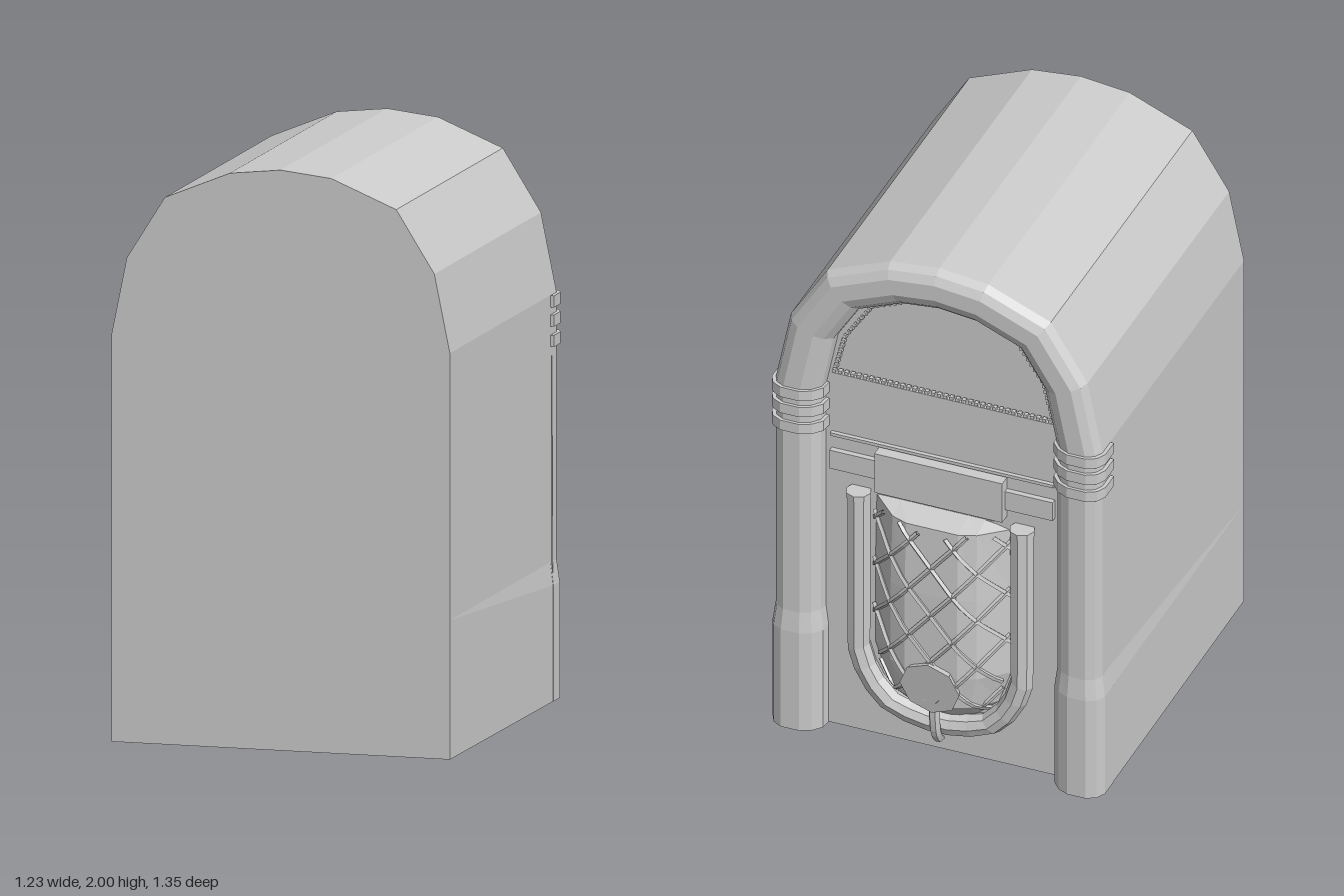
import * as THREE from 'three';

const mat = new THREE.MeshStandardMaterial({ color: 0xcccccc, flatShading: true, side: THREE.DoubleSide });
mat.name = 'light grey';

const V = (x, y, z) => new THREE.Vector3(x, y, z);

// Outline of the cabinet, from the +x foot over the arch to the -x foot
const half = [[0.6, 0], [0.6, 0.4], [0.6, 0.48], [0.6, 1.4], [0.545, 1.67], [0.41, 1.885], [0.18, 1.98]];
const mirrorX = (pts) => pts.slice().reverse().map(([x, y]) => [-x, y]);
const outline = [...half, [0, 2], ...mirrorX(half)];

// Skin a list of equally sized closed rings, with fan caps at both ends
function loft(rings) {
  const n = rings[0].length, pos = [], idx = [];
  rings.forEach((r) => r.forEach((p) => pos.push(p.x, p.y, p.z)));
  for (let i = 0; i < rings.length - 1; i++) {
    for (let j = 0; j < n; j++) {
      const a = i * n + j, b = i * n + (j + 1) % n;
      idx.push(a, b, a + n, b, b + n, a + n);
    }
  }
  const last = (rings.length - 1) * n;
  for (let j = 1; j < n - 1; j++) idx.push(0, j + 1, j, last, last + j, last + j + 1);
  const g = new THREE.BufferGeometry();
  g.setAttribute('position', new THREE.Float32BufferAttribute(pos, 3));
  g.setIndex(idx);
  g.computeVertexNormals();
  return g;
}

// Inward mitre direction at each outline point
const inward = outline.map((p, i) => {
  const normal = (a, b) => new THREE.Vector2(a[1] - b[1], b[0] - a[0]).normalize();
  const n1 = normal(outline[Math.max(i - 1, 0)], outline[Math.max(i, 1)]);
  const k = Math.min(i, outline.length - 2);
  const n2 = normal(outline[k], outline[k + 1]);
  const m = n1.clone().add(n2).normalize();
  return m.multiplyScalar(1 / m.dot(n2));
});

// Rim cross-section: inward distance, z
const section = [[0, -0.5], [0, -0.57], [0.015, -0.6], [0.045, -0.617], [0.105, -0.617],
  [0.14, -0.6], [0.165, -0.57], [0.172, -0.5]];

// Cross-section placed at a point, swollen by s about its middle
const ringAt = ([x, y], dir, s) => section.map(([d, z]) => {
  const e = 0.086 + (d - 0.086) * s;
  return V(x + dir.x * e, y + dir.y * e, -0.5 + (z + 0.5) * (1 + (s - 1) * 0.6));
});

// Faceted half-barrel depth of the grille at a given x, for half width w
function barrel(x, w) {
  const t = Math.abs(x) / w;
  if (t > 0.62) return 0.09 * (1 - t) / 0.38;
  if (t > 0.38) return 0.09 + 0.025 * (0.62 - t) / 0.24;
  return 0.115;
}
// Grille rows: y, half width, bulge
const grilleRows = [[0.985, 0.25, 0.1], [0.965, 0.25, 0.9], [0.7, 0.255, 1], [0.38, 0.255, 1],
  [0.25, 0.21, 0.9], [0.17, 0.12, 0.3]];
function grillePoint(x, y, lift) {
  let i = 0;
  while (i < grilleRows.length - 2 && y < grilleRows[i + 1][0]) i++;
  const [y0, w0, b0] = grilleRows[i], [y1, w1, b1] = grilleRows[i + 1];
  const t = (y0 - y) / (y0 - y1), w = w0 + (w1 - w0) * t;
  if (Math.abs(x) > w) return null;
  return V(x, y, -0.53 - barrel(x, w) * (b0 + (b1 - b0) * t) - lift);
}

function polyTube(points, r, sides, perSegment = 1) {
  const path = new THREE.CurvePath();
  for (let i = 1; i < points.length; i++) path.add(new THREE.LineCurve3(points[i - 1], points[i]));
  return new THREE.TubeGeometry(path, (points.length - 1) * perSegment, r, sides);
}

export function createModel() {
  const model = new THREE.Group();
  const add = (name, geo, x = 0, y = 0, z = 0, parent = model) => {
    const m = new THREE.Mesh(geo, mat);
    m.name = name;
    m.position.set(x, y, z);
    parent.add(m);
    return m;
  };
  const group = (name) => {
    const g = new THREE.Group();
    g.name = name;
    model.add(g);
    return g;
  };

  // Arched cabinet, slightly wider low down at the panel end
  const end = (z, flare) => outline.map(([x, y]) => V(x + (y < 0.45 ? Math.sign(x) * flare : 0), y, z));
  add('cabinet', loft([end(0.675, 0), end(-0.51, 0.009)]));

  // Pillars and arch as one swept rim, with swollen feet
  add('archedRim', loft(outline.map((p, i) => ringAt(p, inward[i], p[1] < 0.45 ? 1.12 : 1))));

  // Three bands on each pillar
  const bands = group('pillarBands');
  for (const s of [1, -1]) {
    for (const y of [1.222, 1.292, 1.358]) {
      const dir = new THREE.Vector2(-s, 0);
      add('band', loft([y, y + 0.04].map((h) => ringAt([0.6 * s, h], dir, 1.15))), 0, 0, 0, bands);
    }
  }

  // Face panel with an arched window opening
  const at = ([x, y], i) => new THREE.Vector2(x + inward[i].x * 0.13, y + inward[i].y * 0.13);
  const face = new THREE.Shape(outline.map(at));
  const side = [[0.41, 1.44], [0.37, 1.6], [0.27, 1.75], [0.13, 1.81]];
  const opening = [...side, [0, 1.825], ...mirrorX(side)].map(([x, y]) => new THREE.Vector2(x, y));
  face.holes.push(new THREE.Path(opening));
  add('facePanel', new THREE.ExtrudeGeometry(face, { depth: 0.025, bevelEnabled: false }), 0, 0, -0.535);

  // Toothed trim round the window
  const trim = group('windowTrim');
  const tooth = new THREE.BoxGeometry(0.013, 0.013, 0.016);
  const edge = new THREE.Path([...opening, opening[0]]);
  for (const p of edge.getSpacedPoints(90)) {
    add('tooth', tooth, p.x * 0.985, 1.6 + (p.y - 1.6) * 0.97, -0.525, trim);
  }

  // Shelf strips and the selector plate
  add('upperStrip', new THREE.BoxGeometry(0.82, 0.012, 0.02), 0, 1.195, -0.54);
  add('lowerStrip', new THREE.BoxGeometry(0.82, 0.075, 0.03), 0, 1.095, -0.54);
  add('selectorPlate', new THREE.BoxGeometry(0.47, 0.16, 0.05), 0, 1.1, -0.555);

  // Faceted grille
  const cols = [-1, -0.62, -0.38, 0.38, 0.62, 1];
  add('grille', loft(grilleRows.map(([y, w, b]) =>
    cols.map((c) => V(c * w, y, -0.53 - barrel(c * w, w) * b)))));

  // Diagonal lattice over the grille
  const lattice = group('lattice');
  for (const s of [1, -1]) {
    for (let c = 0.05; c < 1.3; c += 0.19) {
      const pts = [];
      for (let x = -0.25; x <= 0.2501; x += 0.025) {
        const y = c + s * x * 1.2;
        const p = y > 0.2 && y < 0.965 ? grillePoint(x, y, 0.006) : null;
        if (p) pts.push(p);
      }
      if (pts.length > 2) add('wire', polyTube(pts, 0.009, 4), 0, 0, 0, lattice);
    }
  }

  // U-shaped tube round the grille, with end caps
  const uHalf = [[0.3, 0.99], [0.3, 0.37], [0.265, 0.255], [0.18, 0.165], [0.07, 0.13]];
  const uPts = [...uHalf, ...mirrorX(uHalf)].map(([x, y]) => V(x, y, -0.56));
  add('uTube', polyTube(uPts, 0.042, 8, 3));
  for (const s of [1, -1]) add('tubeCap', new THREE.CylinderGeometry(0.045, 0.045, 0.02, 8), 0.3 * s, 0.99, -0.56);

  // Tilted octagonal badge and the hook below it
  const badge = add('badge', new THREE.CylinderGeometry(0.11, 0.1, 0.025, 8), 0, 0.325, -0.645);
  badge.rotation.x = -(Math.PI / 2 + 0.16);
  const hook = new THREE.CatmullRomCurve3([V(0, 0.25, -0.615), V(0, 0.17, -0.612), V(0, 0.11, -0.6), V(0, 0.07, -0.57)]);
  add('hook', new THREE.TubeGeometry(hook, 8, 0.02, 6));

  return model;
}
